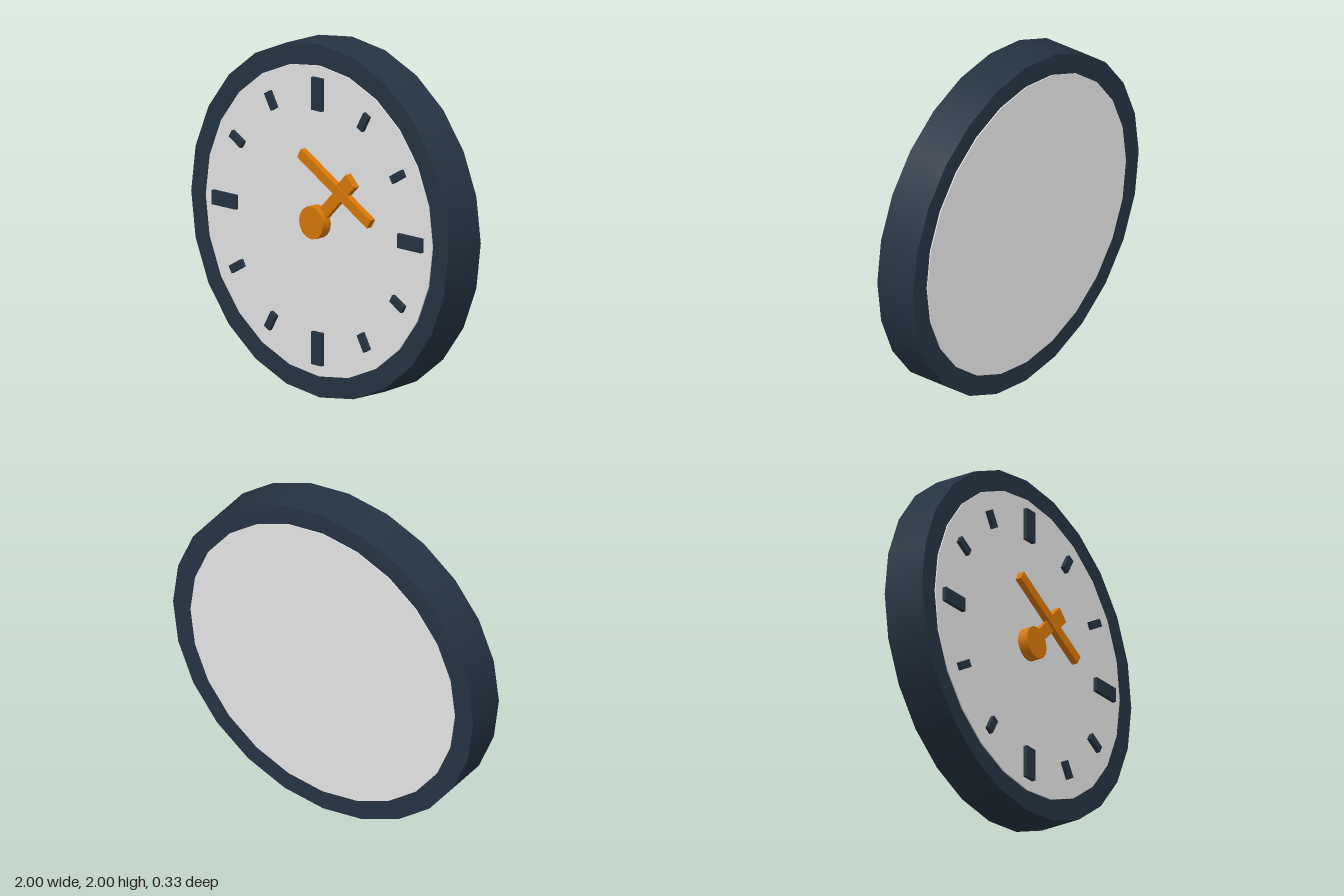
import * as THREE from 'three';

const navy = new THREE.MeshStandardMaterial({ color: 0x253342 });
navy.name = 'navy';
const paleGrey = new THREE.MeshStandardMaterial({ color: 0xe5e5e5 });
paleGrey.name = 'paleGrey';
const orange = new THREE.MeshStandardMaterial({ color: 0xd97808 });
orange.name = 'orange';

export function createModel() {
  const clock = new THREE.Group();
  clock.name = 'wallClock';
  const dial = new THREE.Group(); // everything is laid out around the dial centre
  dial.name = 'dial';
  dial.position.y = 1;
  clock.add(dial);

  const add = (name, geometry, material) => {
    const mesh = new THREE.Mesh(geometry, material);
    mesh.name = name;
    dial.add(mesh);
    return mesh;
  };
  // disc facing the front, between two depths
  const disc = (name, radius, sides, z0, z1, material) => {
    const geometry = new THREE.CylinderGeometry(radius, radius, z1 - z0, sides);
    geometry.rotateX(Math.PI / 2).translate(0, 0, (z0 + z1) / 2);
    return add(name, geometry, material);
  };
  // bar lying on the dial, its length turned by angle from +x
  const bar = (name, x, y, length, width, angle, z0, z1, material) => {
    const mesh = add(name, new THREE.BoxGeometry(length, width, z1 - z0), material);
    mesh.position.set(x, y, (z0 + z1) / 2);
    mesh.rotation.z = angle;
    return mesh;
  };

  // body and face plate, which stands slightly proud on both sides
  disc('rim', 1, 24, -0.157, 0.094, navy);
  disc('face', 0.88, 24, -0.163, 0.101, paleGrey);

  // hour markers, larger at the quarters
  for (let i = 0; i < 12; i++) {
    const a = (i * Math.PI) / 6;
    const quarter = i % 3 === 0;
    bar(quarter ? 'quarterMarker' : 'hourMarker', 0.72 * Math.cos(a), 0.72 * Math.sin(a),
      quarter ? 0.185 : 0.103, quarter ? 0.08 : 0.045, a, 0.095, 0.124, navy);
  }

  // hands and hub
  const onDiagonal = (r) => r * Math.SQRT1_2;
  bar('hourHand', onDiagonal(0.15), onDiagonal(0.15), 0.3, 0.07, Math.PI / 4, 0.099, 0.131, orange);
  bar('hourHandTip', onDiagonal(0.333), onDiagonal(0.333), 0.126, 0.09, Math.PI / 4, 0.099, 0.141, orange);
  bar('minuteHand', 0.158, 0.217, 0.625, 0.057, -Math.PI / 6, 0.108, 0.145, orange);
  disc('hub', 0.093, 16, 0.099, 0.163, orange);

  return clock;
}
